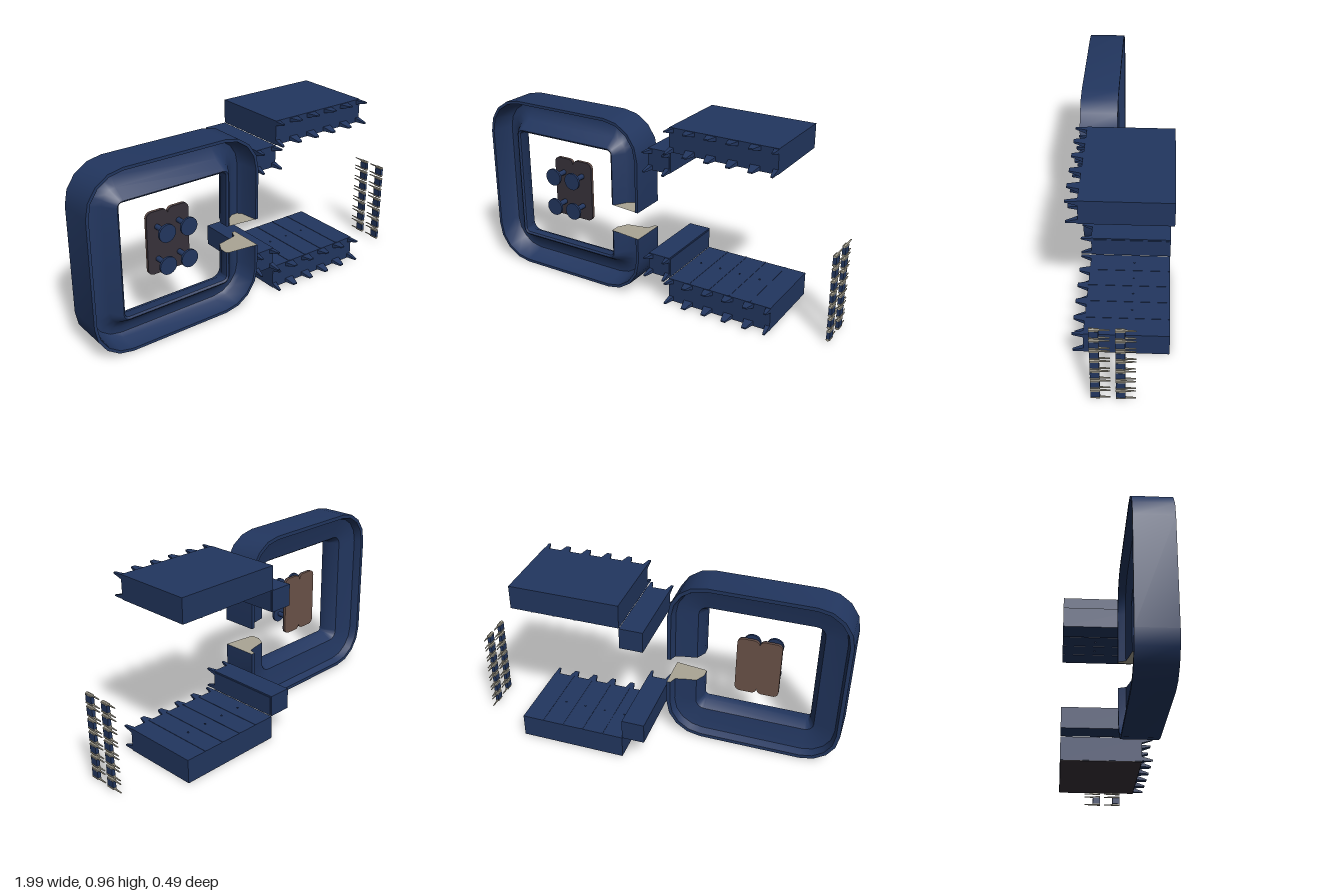
import * as THREE from 'three';
import { toCreasedNormals } from 'three/addons/utils/BufferGeometryUtils.js';

const material = (name, color, side = THREE.FrontSide) => {
  const m = new THREE.MeshStandardMaterial({ color, side });
  m.name = name;
  return m;
};

export function createModel() {
  const navy = material('navy', 0x22365f);
  const pale = material('paleGrey', 0xaaa595, THREE.DoubleSide);
  const charcoal = material('charcoal', 0x38323a);
  const brown = material('brown', 0x6b5248);
  const model = new THREE.Group();

  const add = (parent, name, geo, mat, x = 0, y = 0, z = 0) => {
    const mesh = new THREE.Mesh(geo, mat);
    mesh.name = name;
    mesh.position.set(x, y, z);
    parent.add(mesh);
    return mesh;
  };
  // Box given by its lower and upper corners
  const span = (parent, name, mat, [x0, y0, z0], [x1, y1, z1]) =>
    add(parent, name, new THREE.BoxGeometry(x1 - x0, y1 - y0, z1 - z0), mat,
      (x0 + x1) / 2, (y0 + y1) / 2, (z0 + z1) / 2);

  // ---- Open frame: a channel section swept around a rounded square ----
  const cx = -0.52, cy = 0.485, half = 0.48, gapLow = 0.34, gapHigh = 0.49;
  // [inset from the outer edge, z], starting up the outer wall
  const profile = [
    [0, 0.05], [0, 0.243], [0.015, 0.243], [0.028, 0.15], [0.045, 0.128], [0.08, 0.128],
    [0.125, 0.16], [0.16, 0.215], [0.17, 0.222], [0.18, 0.215],
    [0.18, 0.17], [0.15, 0.115], [0.07, 0.1], [0.035, 0.09], [0.02, 0.05],
  ];
  const outline = (inset) => {
    const h = half - inset, r = Math.max(0.02, 0.2 - inset), pts = [[cx + h, gapHigh]];
    for (let c = 0; c < 4; c++) {
      const sx = c === 0 || c === 3 ? 1 : -1, sy = c < 2 ? 1 : -1;
      for (let k = 0; k <= 4; k++) {
        const a = (c + k / 4) * Math.PI / 2;
        pts.push([cx + sx * (h - r) + r * Math.cos(a), cy + sy * (h - r) + r * Math.sin(a)]);
      }
    }
    pts.push([cx + h, gapLow]);
    return pts;
  };
  const positions = [], index = [], n = profile.length;
  const loops = profile.map(([d]) => outline(d));
  const steps = loops[0].length;
  for (let i = 0; i < steps; i++) {
    for (let j = 0; j < n; j++) {
      positions.push(...loops[j][i], profile[j][1]);
      if (i === steps - 1) continue;
      const a = i * n + j, b = i * n + (j + 1) % n;
      index.push(a, a + n, b, b, a + n, b + n);
    }
  }
  const frameGeo = new THREE.BufferGeometry();
  frameGeo.setAttribute('position', new THREE.Float32BufferAttribute(positions, 3));
  frameGeo.setIndex(index);
  const frame = new THREE.Group();
  frame.name = 'openFrame';
  model.add(frame);
  add(frame, 'frameShell', toCreasedNormals(frameGeo, 0.75), navy);

  // Pale end caps, closing the front channel too
  const capShape = new THREE.Shape(
    profile.filter((p, j) => j < 2 || j > 7).map(([d, z]) => new THREE.Vector2(cx + half - d, z)));
  for (const y of [gapLow, gapHigh]) {
    add(frame, 'endCap', new THREE.ShapeGeometry(capShape).rotateX(Math.PI / 2), pale, 0, y, 0);
  }

  // ---- Plate with four knobs ----
  const panel = new THREE.Group();
  panel.name = 'knobPanel';
  model.add(panel);
  const leaf = (w, h, r) => {
    const s = new THREE.Shape();
    for (let c = 0; c < 4; c++) {
      const sx = c === 0 || c === 3 ? 1 : -1, sy = c < 2 ? 1 : -1;
      s.absarc(sx * (w / 2 - r), sy * (h / 2 - r), r, c * Math.PI / 2, (c + 1) * Math.PI / 2);
    }
    return s;
  };
  const leafShape = leaf(0.12, 0.335, 0.03);
  for (const x of [-0.58, -0.46]) {
    const geo = new THREE.ExtrudeGeometry(leafShape, { depth: 0.009, bevelEnabled: false, curveSegments: 5 });
    add(panel, 'plateFront', geo, charcoal, x, 0.487, 0.14);
    add(panel, 'plateBack', geo, brown, x, 0.487, 0.131);
    for (const y of [0.4, 0.573]) {
      const kx = x < -0.52 ? -0.583 : -0.46;
      add(panel, 'knobStem', new THREE.CylinderGeometry(0.014, 0.014, 0.09, 12).rotateX(Math.PI / 2),
        navy, kx, y, 0.19);
      add(panel, 'knobDisc', new THREE.CylinderGeometry(0.047, 0.047, 0.012, 20).rotateX(Math.PI / 2),
        navy, kx, y, 0.237);
    }
  }

  // ---- Pronged blocks ----
  const back = -0.243, face = 0.187, tip = 0.243;
  const prong = (parent, x, x0, x1, edge, inward) => {
    const geo = new THREE.BoxGeometry(1, 1, 1), p = geo.attributes.position;
    for (let i = 0; i < p.count; i++) {
      const atTip = p.getZ(i) > 0;
      const w = atTip ? 0.024 : 0.054, t = atTip ? 0.01 : 0.027;
      const px = THREE.MathUtils.clamp(x + p.getX(i) * w, x0, x1);
      const depth = p.getY(i) * inward > 0 ? t : 0.003;
      p.setXYZ(i, px, edge + inward * depth, atTip ? tip : face - 0.005);
    }
    geo.computeVertexNormals();
    add(parent, 'prong', geo, navy);
  };
  const block = (name, x0, x1, y0, y1, cells) => {
    const g = new THREE.Group();
    g.name = name;
    model.add(g);
    span(g, 'blockBody', navy, [x0, y0, back], [x1, y1, face]);
    for (let i = 0; i <= cells; i++) {
      const x = x0 + (x1 - x0) * i / cells;
      prong(g, x, x0, x1, y1, -1);
      prong(g, x, x0, x1, y0, 1);
    }
    return g;
  };
  for (const upper of [true, false]) {
    const label = upper ? 'upper' : 'lower';
    const wide = block(label + 'WideBlock', 0.115, 0.7, upper ? 0.837 : 0.003, upper ? 0.965 : 0.131, 5);
    const small = block(label + 'SmallBlock', -0.01, 0.115, upper ? 0.72 : 0.133, upper ? 0.835 : 0.248, 1);
    // Seams and studs on the facing side of the wide block
    const y = upper ? 0.837 : 0.131;
    for (let i = 1; i < 5; i++) {
      const x = 0.115 + 0.117 * i;
      span(wide, 'seam', navy, [x - 0.004, y - 0.002, back], [x + 0.004, y + 0.002, face]);
      add(wide, 'stud', new THREE.CylinderGeometry(0.005, 0.005, 0.008, 8), navy, x - 0.058, y, -0.05);
    }
    // Raised side panel
    const s = upper ? 0.72 : 0.133;
    span(small, 'sidePanel', navy, [0.113, s + 0.008, -0.235], [0.118, s + 0.107, 0.18]);
    if (!upper) span(wide, 'underside', charcoal, [0.117, 0, back + 0.002], [0.698, 0.004, face - 0.002]);
  }

  // ---- Two columns of small pinned connectors ----
  const pinGeo = new THREE.CylinderGeometry(0.003, 0.007, 0.095, 6).rotateX(-Math.PI / 2);
  const connectors = new THREE.Group();
  connectors.name = 'connectors';
  model.add(connectors);
  for (const z of [0.13, 0.01]) {
    for (let row = 0; row < 7; row++) {
      const y = 0.036 + row * 0.068;
      const g = new THREE.Group();
      g.name = 'connector';
      g.position.set(0.984, y, z);
      connectors.add(g);
      add(g, 'connectorBody', new THREE.BoxGeometry(0.018, 0.036, 0.044), navy, 0, 0, -0.023);
      add(g, 'connectorCore', new THREE.BoxGeometry(0.012, 0.046, 0.014), navy, 0, 0, -0.033);
      for (const s of [-1, 1]) {
        add(g, 'pin', pinGeo, pale, 0, s * 0.024, -0.0475);
        add(g, 'pinSleeve', new THREE.BoxGeometry(0.02, 0.006, 0.045), pale, 0, s * 0.023, -0.023);
      }
    }
  }
  return model;
}
